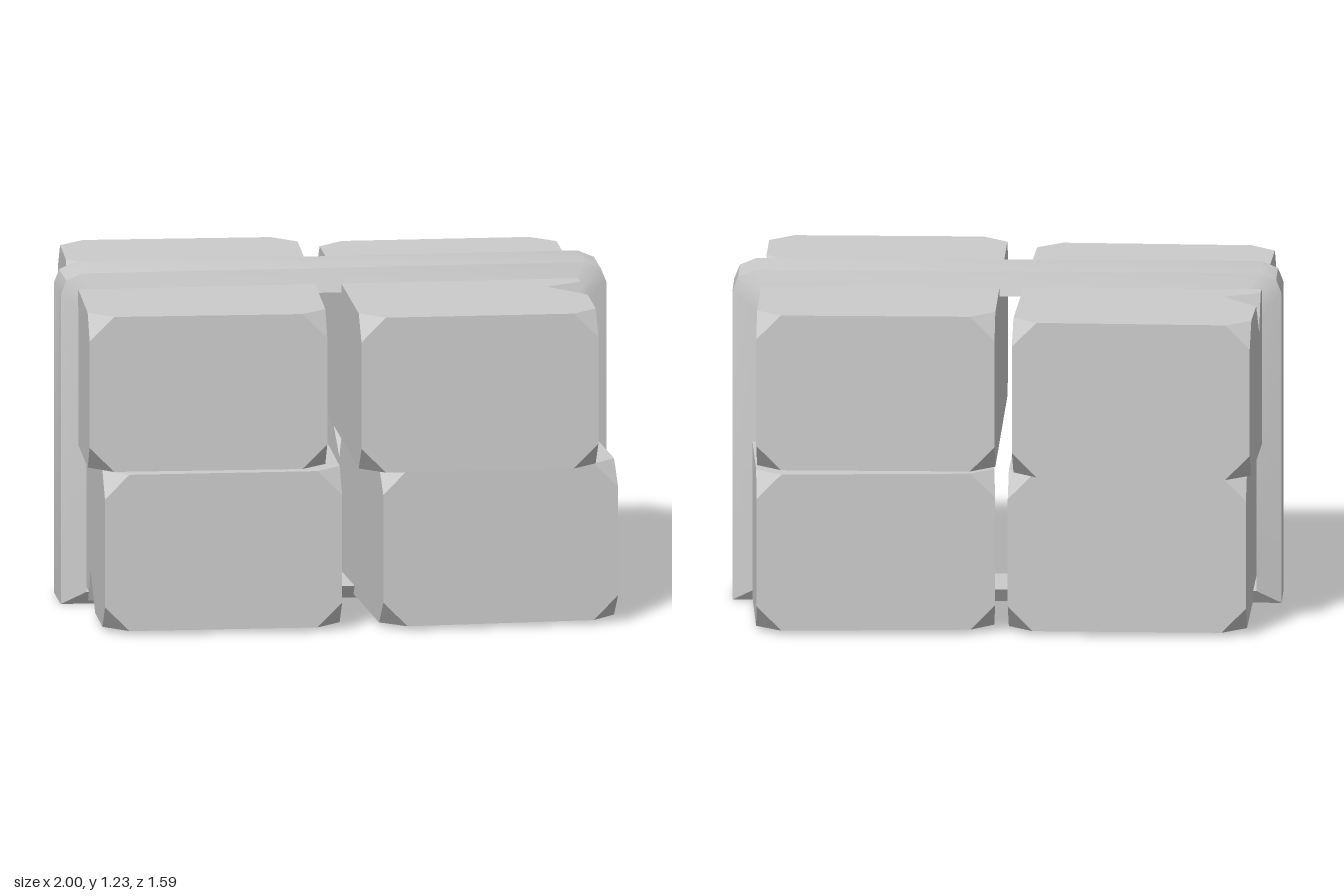
import * as THREE from 'three';
import { toCreasedNormals } from 'three/addons/utils/BufferGeometryUtils.js';

const grey = new THREE.MeshStandardMaterial({ color: 0xcccccc });
const V = (x, y, z) => new THREE.Vector3(x, y, z);

function fromPoints(points) {
  const geo = new THREE.BufferGeometry().setFromPoints(points);
  geo.computeVertexNormals();
  return geo;
}

// Triangle wound so that it faces along the given direction
function pushTri(out, a, b, c, facing) {
  const n = b.clone().sub(a).cross(c.clone().sub(a));
  if (n.dot(facing) < 0) out.push(a, c, b);
  else out.push(a, b, c);
}

// Stone bar: box with clipped corners and one V-shaped chip in the +x top edge
function stoneGeometry(w, h, d) {
  const half = [w / 2, h / 2, d / 2], cut = 0.09, chip = 0.13;
  const zA = 0.375, zMid = 0.21, zB = 0.135;
  const axes = [V(1, 0, 0), V(0, 1, 0), V(0, 0, 1)];
  const out = [];

  // Six flat faces
  for (let i = 0; i < 3; i++) for (const s of [1, -1]) {
    const n = axes[i].clone().multiplyScalar(s), u = axes[(i + 1) % 3];
    const v = n.clone().cross(u);
    const a = half[(i + 1) % 3], b = half[(i + 2) % 3];
    const pts = [[a, -b + cut]];
    if (i === 0 && s === 1) pts.push([a, zB], [a - chip, zMid], [a, zA]);
    pts.push([a, b - cut], [a - cut, b]);
    if (i === 1 && s === 1) pts.push([zA, b], [zMid, b - chip], [zB, b]);
    pts.push([-a + cut, b], [-a, b - cut], [-a, -b + cut], [-a + cut, -b], [a - cut, -b]);
    const face = new THREE.ShapeGeometry(new THREE.Shape(pts.map((p) => new THREE.Vector2(...p)))).toNonIndexed();
    const m = new THREE.Matrix4().makeBasis(u, v, n).setPosition(n.clone().multiplyScalar(half[i]));
    face.applyMatrix4(m);
    const pos = face.attributes.position;
    for (let k = 0; k < pos.count; k++) out.push(new THREE.Vector3().fromBufferAttribute(pos, k));
  }

  // Clipped corners
  const [x, y, z] = half;
  for (const sx of [1, -1]) for (const sy of [1, -1]) for (const sz of [1, -1]) {
    const dir = V(sx, sy, sz);
    pushTri(out, V(x - cut, y, z).multiply(dir), V(x, y - cut, z).multiply(dir),
      V(x, y, z - cut).multiply(dir), dir);
  }

  // Two walls of the edge chip
  const side = V(x, y - chip, zMid), top = V(x - chip, y, zMid);
  for (const zEnd of [zA, zB]) pushTri(out, V(x, y, zEnd), side, top, V(1, 1, 0));
  return fromPoints(out);
}

// Strap: closed band with a trapezoid cross-section, wider on the inside
function strapGeometry() {
  const mirrored = (pts) => [...pts, ...pts.slice().reverse().map(([x, y]) => [-x, y])];
  const outer = mirrored([[1, 0], [1, 1.15], [0.98, 1.2], [0.92, 1.225]]);
  const inner = mirrored([[0.91, 0.05], [0.91, 1.08], [0.895, 1.12], [0.86, 1.14]]);
  const sections = outer.map(([x, y], i) => {
    const [ix, iy] = inner[i];
    return [V(x, y, 0.11), V(x, y, -0.11), V(ix, iy, -0.145), V(ix, iy, 0.145)];
  });
  const out = [];
  sections.forEach((s, i) => {
    const t = sections[(i + 1) % sections.length];
    for (let k = 0; k < 4; k++) {
      const m = (k + 1) % 4;
      out.push(s[k], s[m], t[m], s[k], t[m], t[k]);
    }
  });
  return toCreasedNormals(fromPoints(out), 0.7);
}

export function createModel() {
  const group = new THREE.Group();
  const add = (name, geo) => {
    const mesh = new THREE.Mesh(geo, grey);
    mesh.name = name;
    group.add(mesh);
    return mesh;
  };

  // Four long stones in two layers, each turned a little differently
  const stones = [
    ['upperLeftStone', 0.46, 0.8825, 0.065, -0.005, 0],
    ['upperRightStone', -0.4975, 0.8825, -0.0525, Math.PI - 0.038, 0],
    ['lowerLeftStone', 0.5, 0.305, 0.005, Math.PI + 0.055, 0],
    ['lowerRightStone', -0.465, 0.305, 0, -0.015, Math.PI],
  ];
  for (const [name, x, y, z, turn, flip] of stones) {
    const stone = add(name, stoneGeometry(0.868, y > 0.5 ? 0.575 : 0.58, 1.452));
    stone.position.set(x, y, z);
    stone.rotation.set(0, turn, flip);
  }

  add('strap', strapGeometry());
  return group;
}
